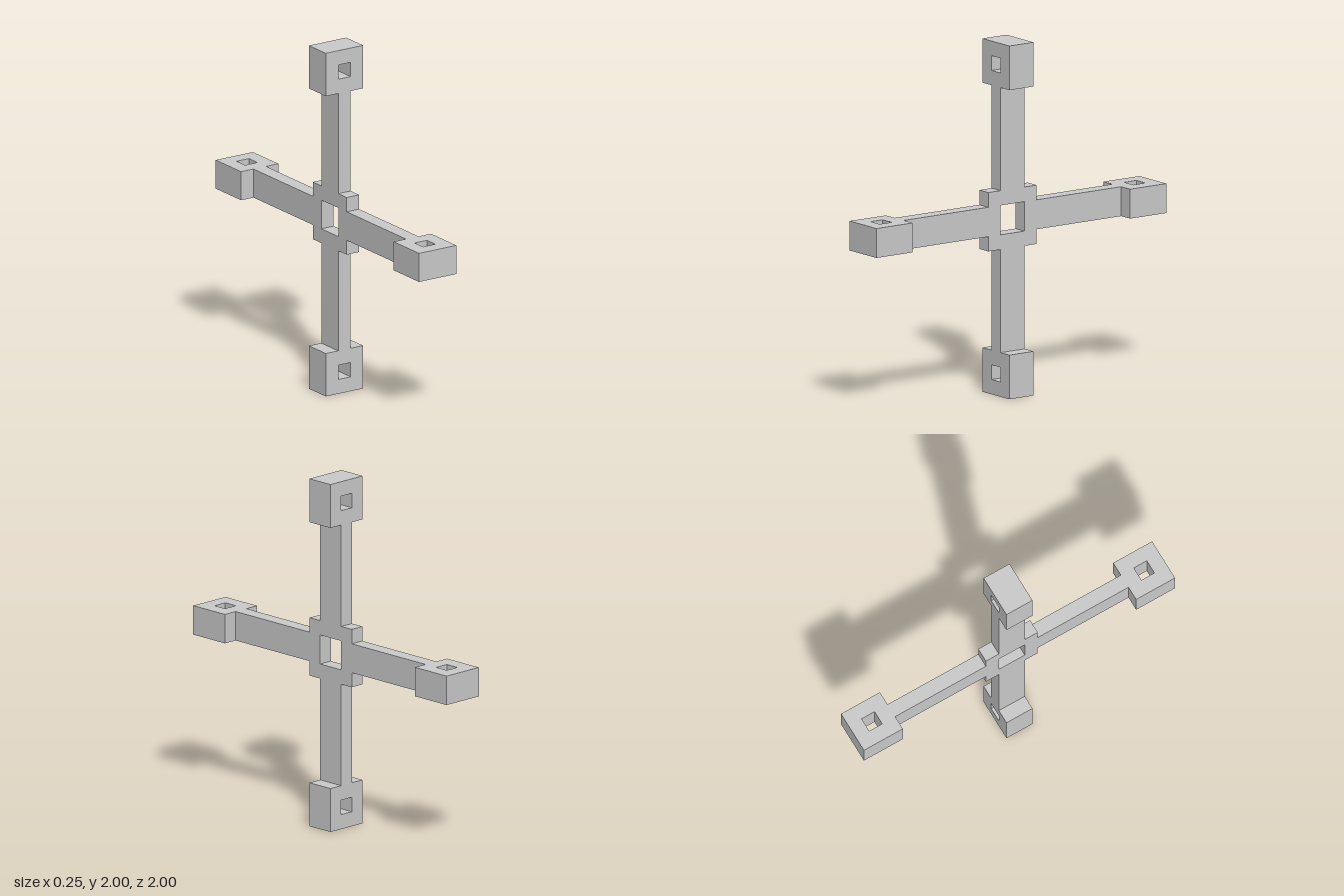
import * as THREE from 'three';

const ARM = 1 / 12;      // half width of an arm, and of the hub hole
const HUB = 1 / 6;       // half size of the square hub
const THIN = 1 / 24;     // half thickness of the cross, and of the end holes
const BLOCK = 1 / 8;     // half size of an end block

const material = new THREE.MeshStandardMaterial({ color: 0xcccccc, flatShading: true });

const square = (r) => [[-r, -r], [r, -r], [r, r], [-r, r]].map(([x, y]) => new THREE.Vector2(x, y));

// Extrudes an outline with a centred square hole, centred on its depth
function frame(outline, hole, depth) {
  const shape = new THREE.Shape(outline);
  shape.holes.push(new THREE.Path(square(hole).reverse()));
  return new THREE.ExtrudeGeometry(shape, { depth, bevelEnabled: false }).translate(0, 0, -depth / 2);
}

export function createModel() {
  const model = new THREE.Group();
  model.name = 'crossFrame';

  // Four arms and the stepped hub as one flat cross
  const quarter = [[HUB, -ARM], [1 - 2 * BLOCK, -ARM], [1 - 2 * BLOCK, ARM], [HUB, ARM], [HUB, HUB]];
  const outline = [];
  for (let k = 0; k < 4; k++) {
    for (const [x, y] of quarter) {
      outline.push(new THREE.Vector2(x, y).rotateAround(new THREE.Vector2(), k * Math.PI / 2));
    }
  }
  const cross = new THREE.Mesh(frame(outline, ARM, 2 * THIN).rotateY(Math.PI / 2), material);
  cross.name = 'armsAndHub';
  cross.position.y = 1;
  model.add(cross);

  // A pierced block at the end of each arm
  const blockGeometry = frame(square(BLOCK), THIN, 2 * ARM).translate(0, 1 - BLOCK, 0);
  ['topBlock', 'frontBlock', 'bottomBlock', 'backBlock'].forEach((name, k) => {
    const block = new THREE.Mesh(blockGeometry, material);
    block.name = name;
    block.position.y = 1;
    block.rotation.x = k * Math.PI / 2;
    model.add(block);
  });

  return model;
}
